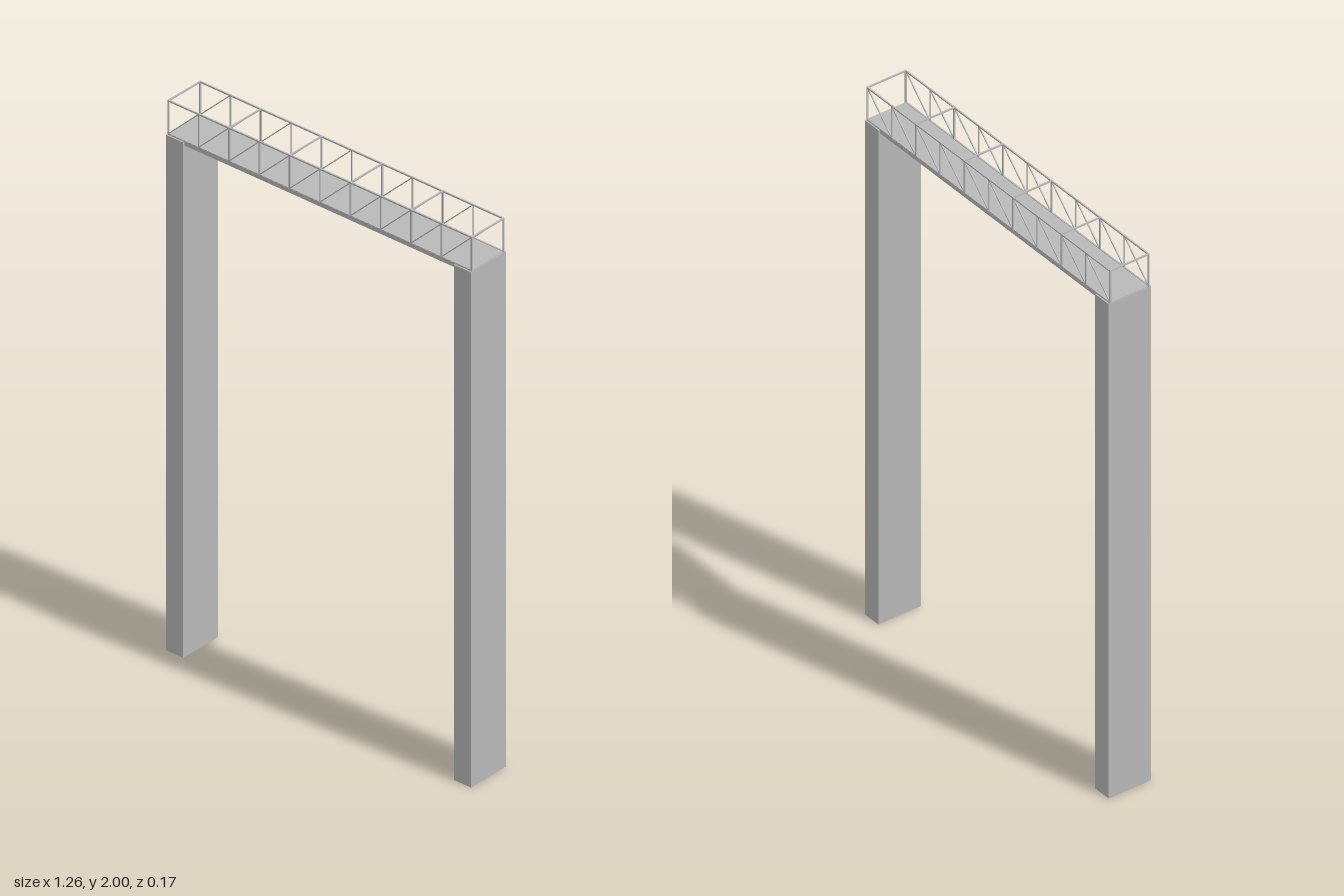
import * as THREE from 'three';

export function createModel() {
  const group = new THREE.Group();
  const grey = new THREE.MeshStandardMaterial({ color: 0xb8b8b8 });
  grey.name = 'grey concrete';

  const box = (name, w, h, d, x, y, z) => {
    const mesh = new THREE.Mesh(new THREE.BoxGeometry(w, h, d), grey);
    mesh.name = name;
    mesh.position.set(x, y, z);
    group.add(mesh);
    return mesh;
  };

  const deckY = 1.875, topY = 2, halfX = 0.625, halfZ = 0.075;
  const bar = 0.005, bay = 0.125, bays = 10;
  const height = topY - deckY;

  // Two tall pillars
  for (const s of [-1, 1]) box('pillar', 0.07, deckY, 0.166, s * 0.593, deckY / 2, 0);

  // Walkway slab with a thin plate carried over the pillars
  box('deck', 1.12, 0.013, 0.154, 0, 1.8685, 0);
  box('deckPlate', 1.252, 0.004, 0.156, 0, deckY + 0.001, 0);

  // Lattice side panels
  for (const z of [-halfZ, halfZ]) {
    box('topChord', 2 * halfX + bar, bar, bar, 0, topY - bar / 2, z);
    box('bottomChord', 2 * halfX + bar, bar, bar, 0, deckY + bar / 2, z);
    for (let i = 0; i <= bays; i++) {
      const x = -halfX + i * bay;
      const t = i % 2 ? 0.0035 : bar;
      box('post', t, height, t, x, deckY + height / 2, z);
      if (i < bays) {
        const brace = box('diagonalBrace', Math.hypot(bay, height - bar), 0.0035, 0.0035,
          x + bay / 2, deckY + height / 2, z);
        brace.rotation.z = Math.atan2(height - bar, bay);
      }
    }
  }

  // Cross bars joining the top chords at every second post
  for (let i = 0; i <= bays; i += 2) {
    box('crossBar', bar, bar, 2 * halfZ, -halfX + i * bay, topY - bar / 2, 0);
  }
  return group;
}
